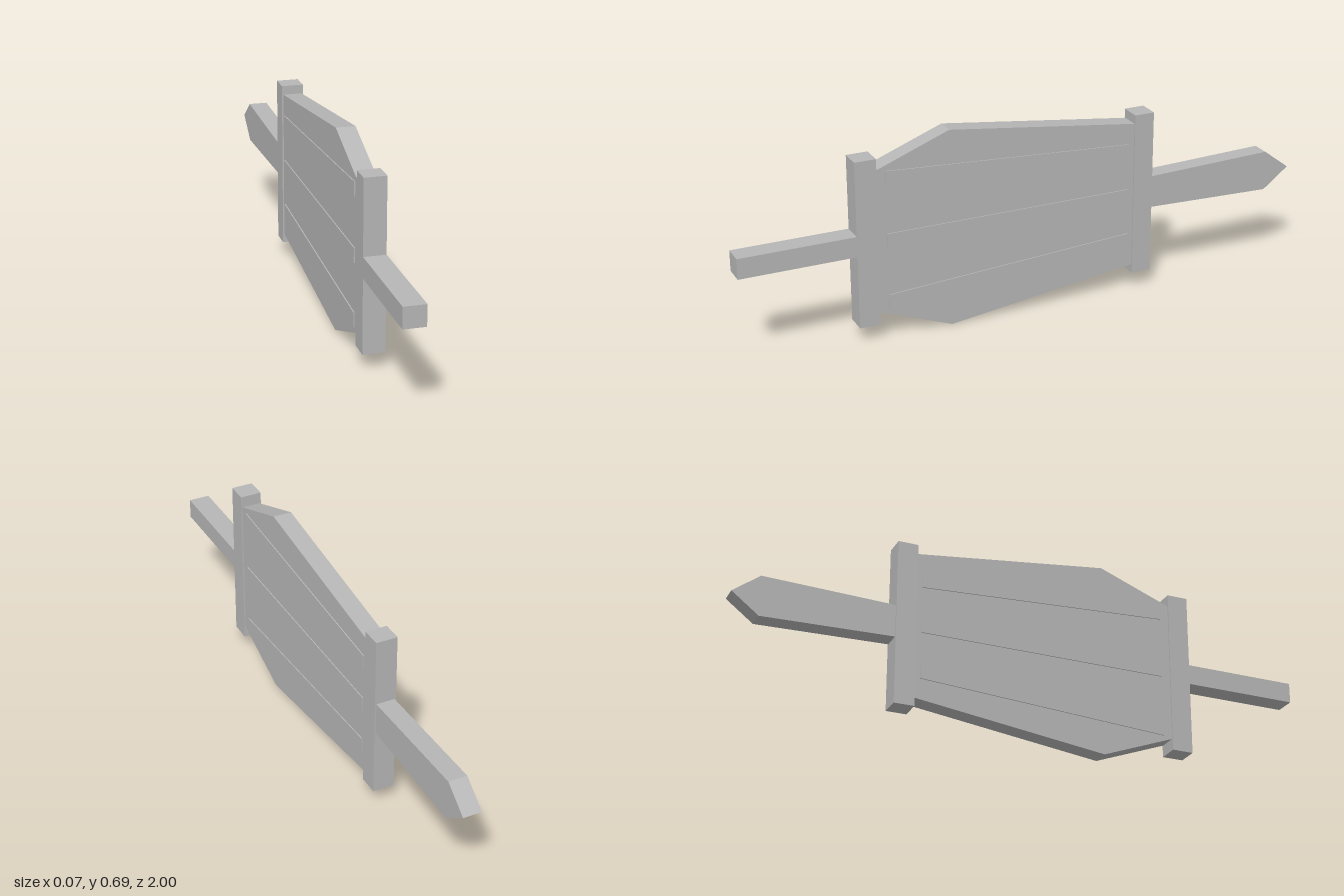
import * as THREE from 'three';

const MID = 0.343; // height of the long axis

export function createModel() {
  const model = new THREE.Group();
  const grey = new THREE.MeshStandardMaterial({ color: 0xb6b6b6 });
  grey.name = 'plain grey';

  // Flat plate cut from a (z, y) outline, centred across x
  function plate(name, outline, thickness, x = 0) {
    const shape = new THREE.Shape(outline.map(([z, y]) => new THREE.Vector2(z, y)));
    const geo = new THREE.ExtrudeGeometry(shape, { depth: thickness, bevelEnabled: false });
    geo.translate(0, 0, -thickness / 2).rotateY(-Math.PI / 2);
    const mesh = new THREE.Mesh(geo, grey);
    mesh.name = name;
    mesh.position.set(x, MID, 0);
    model.add(mesh);
  }

  // Outline mirrored about the long axis from (z, half height) points
  const mirrored = (pts) => [
    ...pts,
    ...pts.filter(([, h]) => h > 0).reverse().map(([z, h]) => [z, -h]),
  ];

  function bar(name, height, z0, z1) {
    const mesh = new THREE.Mesh(new THREE.BoxGeometry(0.074, height, z1 - z0), grey);
    mesh.name = name;
    mesh.position.set(0, MID, (z0 + z1) / 2);
    model.add(mesh);
  }

  // Broad body, widest towards the front
  plate('body', mirrored([[0.55, 0.241], [0.535, 0.246], [0.28, 0.343], [-0.385, 0.257], [-0.41, 0.254]]), 0.064);

  // Crossbars closing both ends, and the square front handle
  bar('frontCrossbar', 0.575, 0.532, 0.605);
  bar('backCrossbar', 0.575, -0.458, -0.388);
  bar('handle', 0.07, 0.6, 1);

  // Flared, pointed tail
  plate('tail', mirrored([[-0.45, 0.056], [-0.908, 0.07], [-1, 0]]), 0.064);

  // Raised slats on both faces, spreading towards the front
  for (const side of [-1, 1]) {
    for (const row of [-1, 0, 1]) {
      const front = row * 0.215;
      const back = row * 0.162;
      const h = 0.025;
      plate('slat', [[0.5, front - h], [0.5, front + h], [-0.37, back + h], [-0.37, back - h]], 0.006, side * 0.0325);
    }
  }
  return model;
}
